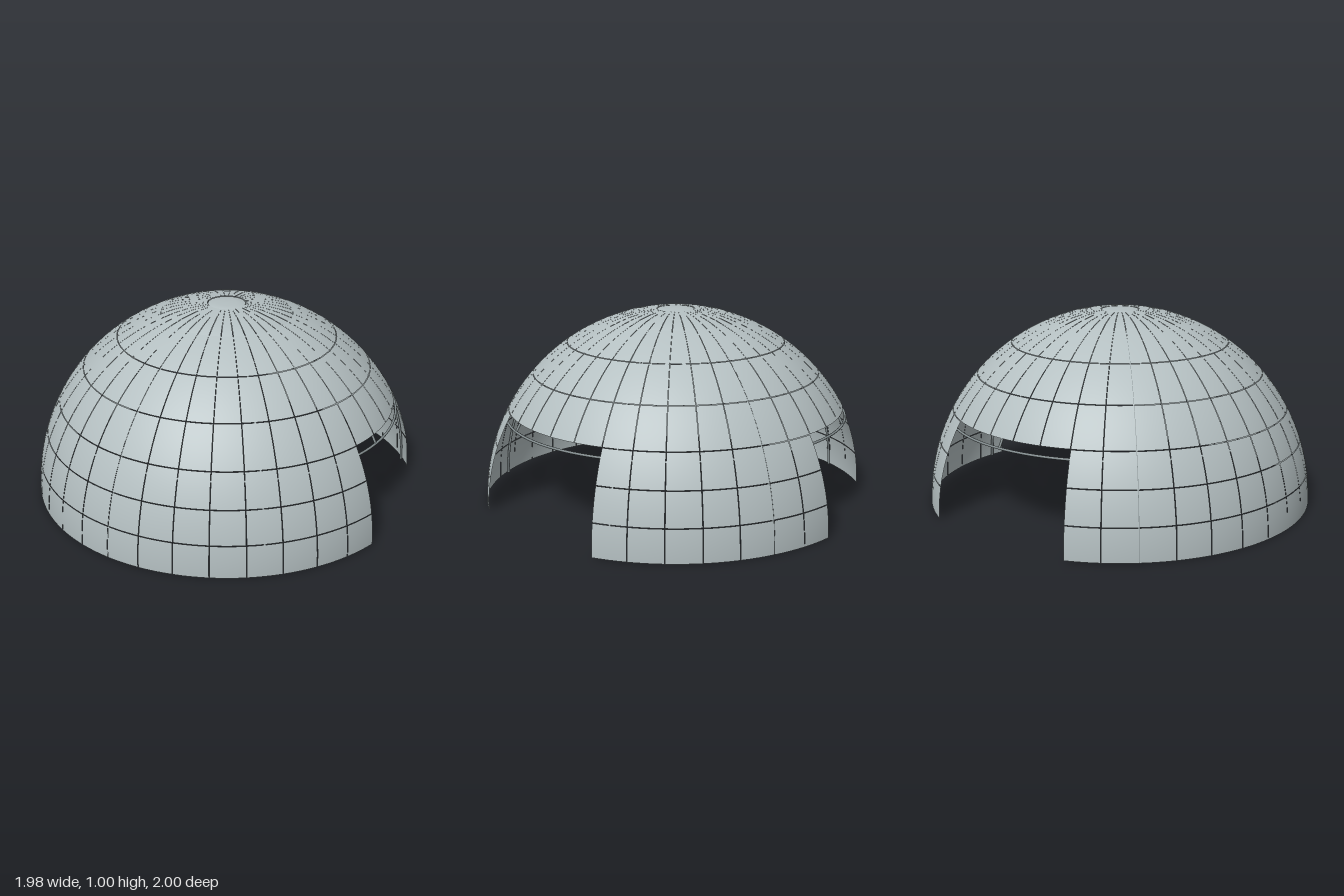
import * as THREE from 'three';

const rad = THREE.MathUtils.degToRad;
const RADIUS = 1;
const SECTOR = 10;      // degrees per panel column
const GAP = 0.08;       // half of the seam between panels, degrees
const FRAME = 0.99;     // radius of the frame centre line
const BAR = 0.0065;

// Both doorways, as degree ranges from +x towards +z
const openings = [[-40, 10], [200, 250]];
const isOpen = (deg) => openings.some(([a, b]) =>
  [deg - 360, deg, deg + 360].some((d) => d >= a && d < b));

export function createModel() {
  const model = new THREE.Group();
  const panelMat = new THREE.MeshStandardMaterial({ color: 0xb4bfc1, side: THREE.DoubleSide });
  panelMat.name = 'panelGrey';
  const frameMat = new THREE.MeshStandardMaterial({ color: 0x828c8e });
  frameMat.name = 'frameGrey';

  const add = (parent, name, geometry, material) => {
    const mesh = new THREE.Mesh(geometry, material);
    mesh.name = name;
    parent.add(mesh);
    return mesh;
  };

  // Rows of curved shell panels; the lowest three leave the doorways open
  const elevations = [0, 9.5, 19.3, 29.4, 42.2, 55.8, 70.4];
  for (let row = 0; row < elevations.length - 1; row++) {
    const group = new THREE.Group();
    group.name = `panelRow${row + 1}`;
    model.add(group);
    const low = elevations[row] + (row ? GAP : 0);
    const high = elevations[row + 1] - GAP;
    const geometry = new THREE.SphereGeometry(RADIUS, 4, 5,
      rad(180 - SECTOR + GAP), rad(SECTOR - 2 * GAP), rad(90 - high), rad(high - low));
    for (let deg = 0; deg < 360; deg += SECTOR) {
      if (row < 3 && isOpen(deg)) continue;
      add(group, 'shellPanel', geometry, panelMat).rotation.y = -rad(deg);
    }
  }

  // Crown of narrow wedges with a soft turned-down rim
  const crown = new THREE.Group();
  crown.name = 'crown';
  model.add(crown);
  const crownProfile = [[0.336, 0.928], [0.336, 0.942], [0.27, 0.964], [0.19, 0.982], [0.098, 0.992]]
    .map(([x, y]) => new THREE.Vector2(x, y));
  const wedge = new THREE.LatheGeometry(crownProfile, 3, rad(0.2), rad(SECTOR - 0.4));
  for (let deg = 0; deg < 360; deg += SECTOR) {
    add(crown, 'crownWedge', wedge, panelMat).rotation.y = rad(deg);
  }

  // Small cap closing the crown
  const capProfile = [[0.095, 0.982], [0.095, 0.991], [0.05, 0.994], [0, 0.995]]
    .map(([x, y]) => new THREE.Vector2(x, y));
  add(model, 'crownCap', new THREE.LatheGeometry(capProfile, 36), panelMat);

  // Horizontal frame rings: above the doorways and under the crown
  const frame = new THREE.Group();
  frame.name = 'frame';
  model.add(frame);
  const ringElevation = 26.8;
  const addRing = (name, elevation) => {
    const r = FRAME * Math.cos(rad(elevation));
    const ring = add(frame, name, new THREE.TorusGeometry(r, BAR, 8, 120), frameMat);
    ring.rotation.x = Math.PI / 2;
    ring.position.y = FRAME * Math.sin(rad(elevation));
  };
  addRing('doorRing', ringElevation);
  addRing('crownRing', 70.2);

  // Eight arched ribs; those over a doorway stop at the door ring
  for (let deg = 0; deg < 360; deg += 45) {
    const start = isOpen(deg) ? ringElevation : 0;
    const points = [];
    for (let i = 0; i <= 16; i++) {
      const e = rad(start + (70.2 - start) * i / 16);
      points.push(new THREE.Vector3(FRAME * Math.cos(e), FRAME * Math.sin(e), 0));
    }
    const rib = new THREE.TubeGeometry(new THREE.CatmullRomCurve3(points), 32, BAR, 8);
    add(frame, 'rib', rib, frameMat).rotation.y = -rad(deg);
  }

  return model;
}
